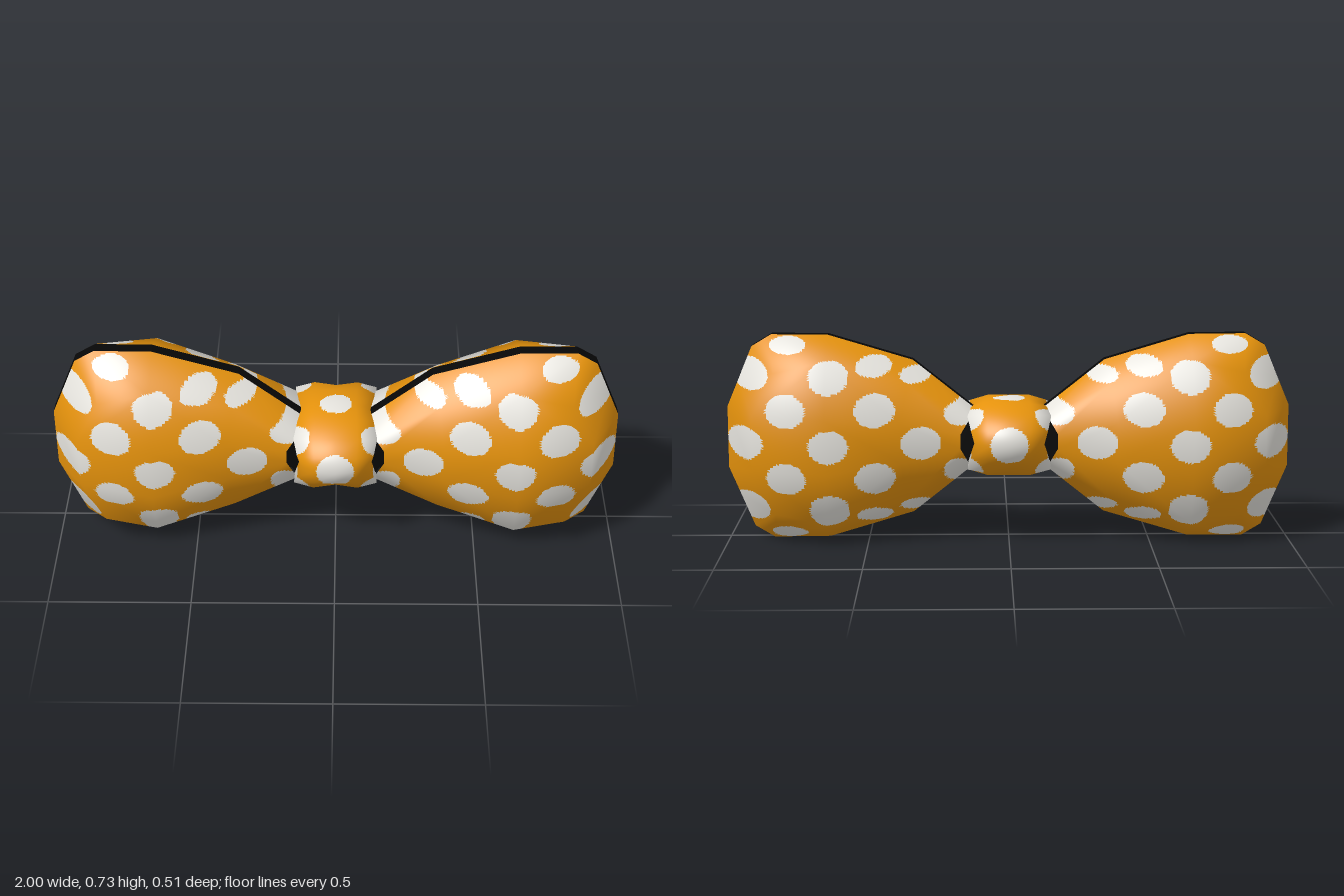
import * as THREE from 'three';

const CY = 0.366; // height of the bow's centre line
const EDGE = 0.022; // half width of the trim

// Wing columns from knot to tip: [edge x, y], [shoulder x, y, z], [crown x, y, z]
const COLUMNS = [
  [[0.12, 0.1], [0.135, 0.088, 0.14], [0.172, 0.025, 0.14]],
  [[0.34, 0.275], [0.36, 0.21, 0.135], [0.38, 0.07, 0.18]],
  [[0.64, 0.365], [0.64, 0.29, 0.18], [0.64, 0.095, 0.256]],
  [[0.84, 0.367], [0.82, 0.25, 0.18], [0.9, 0.095, 0.18]],
  [[0.91, 0.325], [0.958, 0.21], [1.0, 0.11]],
];

// Dots on a wing: x, height from the centre line, half width, half height
const WING_DOTS = [
  [0.93, 0], [0.915, 0.237, 0.075, 0.055], [0.78, 0.12], [0.78, 0.335, 0.065, 0.028],
  [0.63, 0], [0.63, 0.235], [0.47, 0.12], [0.475, 0.265, 0.062, 0.034],
  [0.33, 0.232, 0.055, 0.027], [0.31, 0], [0.175, 0.1, 0.055, 0.042],
];
const onWingDot = (p) => WING_DOTS.some(([x, y, rx = 0.07, ry = 0.058]) =>
  Math.hypot((Math.abs(p.x) - x) / rx, (Math.abs(p.y) - y) / ry) < 1);

// Dots on the knot, mirrored on every axis: x, y, z, radius
const KNOT_DOTS = [[0, 0, 0.235, 0.067], [0, 0.14, 0, 0.058], [0.145, 0.095, 0.16, 0.057]];
const onKnotDot = (p) => KNOT_DOTS.some(([x, y, z, r]) =>
  Math.hypot(Math.abs(p.x) - x, Math.abs(p.y) - y, Math.abs(p.z) - z) < r);

// Splits each triangle into n*n pieces and sorts them into cloth and dot groups
function paintDots(source, n, isDot) {
  const geo = source.toNonIndexed();
  const pos = geo.attributes.position, nor = geo.attributes.normal;
  const sets = [{ p: [], n: [] }, { p: [], n: [] }];
  const read = (attr, i) => [0, 1, 2].map((k) => new THREE.Vector3().fromBufferAttribute(attr, i + k));
  const mix = (v, [i, j]) => new THREE.Vector3()
    .addScaledVector(v[0], 1 - (i + j) / n).addScaledVector(v[1], i / n).addScaledVector(v[2], j / n);
  for (let t = 0; t < pos.count; t += 3) {
    const P = read(pos, t), N = read(nor, t);
    const add = (...corners) => {
      const pts = corners.map((c) => mix(P, c));
      const mid = pts[0].clone().add(pts[1]).add(pts[2]).divideScalar(3);
      const set = sets[isDot(mid) ? 1 : 0];
      corners.forEach((c, k) => {
        set.p.push(...pts[k].toArray());
        set.n.push(...mix(N, c).normalize().toArray());
      });
    };
    for (let i = 0; i < n; i++) {
      for (let j = 0; j < n - i; j++) {
        add([i, j], [i + 1, j], [i, j + 1]);
        if (i + j < n - 1) add([i + 1, j], [i + 1, j + 1], [i, j + 1]);
      }
    }
  }
  const out = new THREE.BufferGeometry();
  const join = (key) => new THREE.Float32BufferAttribute(sets[0][key].concat(sets[1][key]), 3);
  out.setAttribute('position', join('p'));
  out.setAttribute('normal', join('n'));
  const split = sets[0].p.length / 3;
  out.addGroup(0, split, 0);
  out.addGroup(split, sets[1].p.length / 3, 1);
  return out;
}

// One puffed cloth panel, mirrored by the signs sx and sz
function panelGeometry(sx, sz) {
  const verts = [], index = [];
  for (const column of COLUMNS) {
    const put = (k, s) => {
      const [x, y, z = EDGE] = column[k];
      verts.push(x * sx, y * s, z * sz);
    };
    [0, 1, 2].forEach((k) => put(k, -1));
    [2, 1, 0].forEach((k) => put(k, 1));
  }
  const tri = (a, b, c) => (sx * sz > 0 ? index.push(a, b, c) : index.push(a, c, b));
  for (let i = 0; i < COLUMNS.length - 1; i++) {
    for (let j = 0; j < 5; j++) {
      const a = i * 6 + j, b = a + 6;
      // the diagonals mirror top to bottom, and swap on the fold next to the crown
      const swapped = i === 2 && (j === 1 || j === 3);
      if ((j < 2) !== swapped) { tri(a, b, a + 1); tri(b, b + 1, a + 1); }
      else { tri(a, b, b + 1); tri(a, b + 1, a + 1); }
    }
  }
  const geo = new THREE.BufferGeometry();
  geo.setAttribute('position', new THREE.Float32BufferAttribute(verts, 3));
  geo.setIndex(index);
  geo.computeVertexNormals();
  return geo;
}

// Flat slab of a mirrored half outline, centred on z = 0
function slabGeometry(half, sx, thickness) {
  const top = half.map(([x, y]) => new THREE.Vector2(x * sx, y));
  const bottom = half.map(([x, y]) => new THREE.Vector2(x * sx, -y)).reverse();
  const geo = new THREE.ExtrudeGeometry(new THREE.Shape([...top, ...bottom]),
    { depth: thickness, bevelEnabled: false });
  return geo.translate(0, 0, -thickness / 2);
}

// Barrel around the x axis, its ends squared off and flared towards four corners
function knotGeometry() {
  const profile = [[0, -0.11], [0.55, -0.12], [0.8, -0.122], [0.95, -0.07], [1, 0],
    [0.95, 0.07], [0.8, 0.122], [0.55, 0.12], [0, 0.11]].map((p) => new THREE.Vector2(...p));
  const geo = new THREE.LatheGeometry(profile, 16).rotateZ(-Math.PI / 2);
  const normals = geo.attributes.normal;
  const pos = geo.attributes.position;
  for (let i = 0; i < pos.count; i++) {
    const x = pos.getX(i), y = pos.getY(i), z = pos.getZ(i);
    const corner = Math.sin(2 * Math.atan2(y, z)) ** 2 * Math.min(1, Math.hypot(y, z) / 0.5);
    const amount = 0.2 * corner * Math.abs(x) / 0.122;
    pos.setXYZ(i, x * (1 + amount), y * (1 + amount) * 0.14, z * (1 + amount) * 0.237);
    // normals follow the squash of the barrel
    const n = new THREE.Vector3().fromBufferAttribute(normals, i);
    n.set(n.x, n.y / 0.14, n.z / 0.237).normalize();
    normals.setXYZ(i, n.x, n.y, n.z);
  }
  return geo;
}

export function createModel() {
  const make = (name, color) => Object.assign(
    new THREE.MeshStandardMaterial({ color }), { name });
  const orange = make('orange cloth', 0xe5920c);
  const white = make('white dots', 0xe6e4de);
  const black = make('black trim', 0x070707);

  const model = new THREE.Group();
  model.name = 'bowTie';
  const add = (name, geometry, material, parent) => {
    const mesh = new THREE.Mesh(geometry, material);
    mesh.name = name;
    parent.add(mesh);
  };

  // Wings: front and back panels, trim round the edge, dark fold beside the knot
  const outline = [...COLUMNS.map((c) => c[0]), COLUMNS[4][2]];
  const fold = [[0.1, 0.09], [0.13, 0.086], [0.17, 0.025]];
  for (const sx of [1, -1]) {
    const wing = new THREE.Group();
    wing.name = sx > 0 ? 'leftWing' : 'rightWing';
    wing.position.y = CY;
    for (const sz of [1, -1]) {
      add(sz > 0 ? 'frontPanel' : 'backPanel',
        paintDots(panelGeometry(sx, sz), 24, onWingDot), [orange, white], wing);
    }
    add('edgeTrim', slabGeometry(outline, sx, EDGE * 2), black, wing);
    add('innerFold', slabGeometry(fold, sx, 0.27), black, wing);
    model.add(wing);
  }

  // Knot
  const knot = new THREE.Group();
  knot.name = 'knot';
  knot.position.y = CY;
  add('knotCloth', paintDots(knotGeometry(), 10, onKnotDot), [orange, white], knot);
  model.add(knot);

  return model;
}
